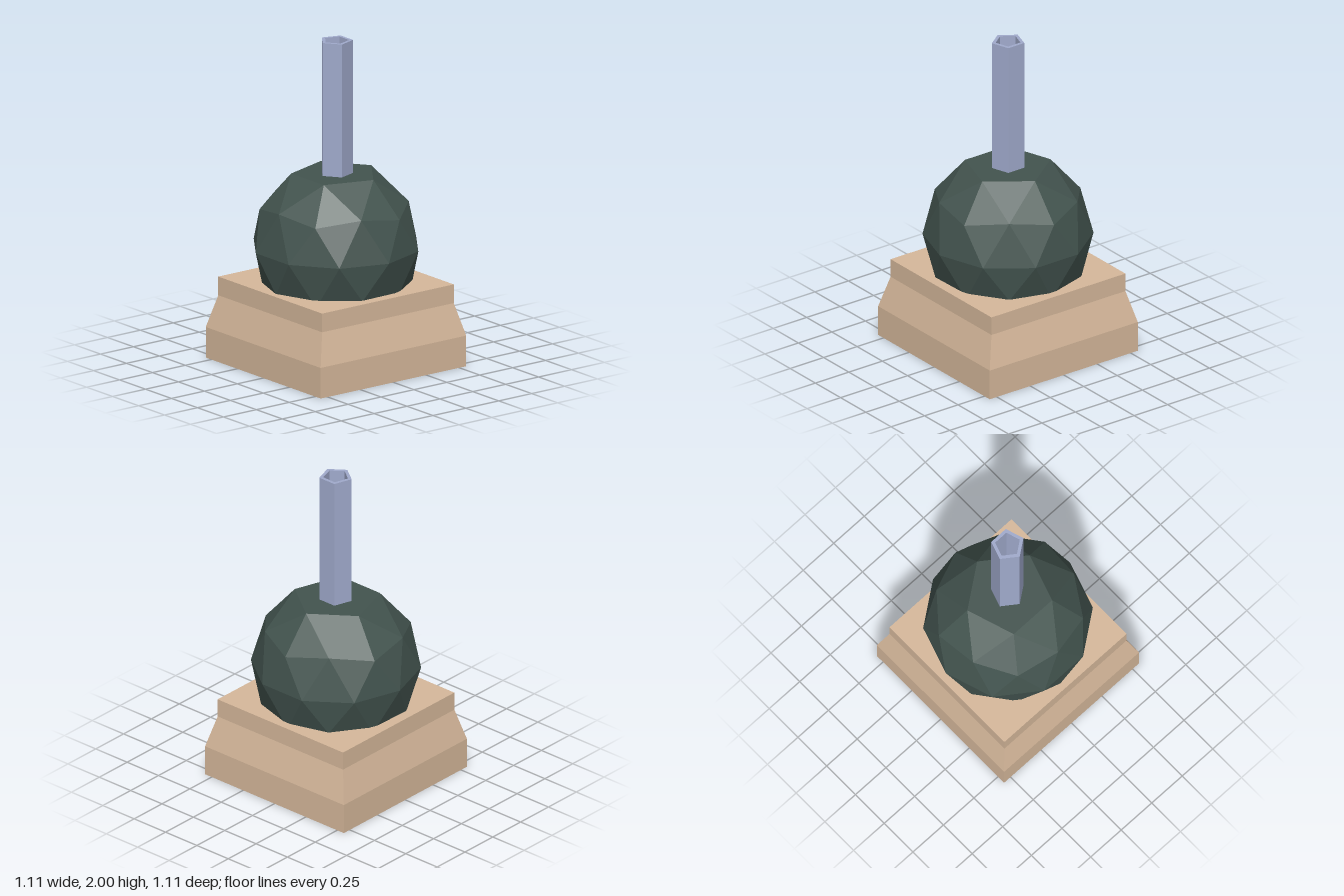
import * as THREE from 'three';

// Faceted prism turned from a [radius, height] profile
function facetedLathe(profile, sides, start) {
  const points = profile.map(([r, y]) => new THREE.Vector2(r, y));
  const geometry = new THREE.LatheGeometry(points, sides, start).toNonIndexed();
  geometry.computeVertexNormals();
  return geometry;
}

function addPart(group, name, geometry, color) {
  const material = new THREE.MeshStandardMaterial({ color, flatShading: true });
  const mesh = new THREE.Mesh(geometry, material);
  mesh.name = name;
  group.add(mesh);
  return mesh;
}

export function createModel() {
  const model = new THREE.Group();
  model.name = 'model';

  // Square plinth with a sloped shoulder
  const k = Math.SQRT2;
  const plinth = [[0, 0], [0.553 * k, 0], [0.553 * k, 0.19], [0.5 * k, 0.39], [0.5 * k, 0.506], [0, 0.506]];
  addPart(model, 'plinth', facetedLathe(plinth, 4, Math.PI / 4), 0xd6b89b);

  // Faceted ball, one vertex turned to the top, then cut flat to a pentagon
  const radius = 0.51;
  const ball = new THREE.IcosahedronGeometry(radius, 1);
  ball.rotateZ(-Math.atan(2 / (1 + Math.sqrt(5))));
  const position = ball.attributes.position;
  for (let i = 0; i < position.count; i++) {
    if (position.getY(i) > radius * 0.8) position.setY(i, 0.447);
  }
  ball.computeVertexNormals();
  addPart(model, 'ball', ball, 0x43544f).position.y = 0.727;

  // Hollow five-sided pipe, open at the top
  const pipe = [[0, 1.1], [0.102, 1.1], [0.102, 2], [0.078, 2], [0.078, 1.2], [0, 1.2]];
  addPart(model, 'pipe', facetedLathe(pipe, 5, -Math.PI / 2), 0xa0aacc);

  return model;
}
